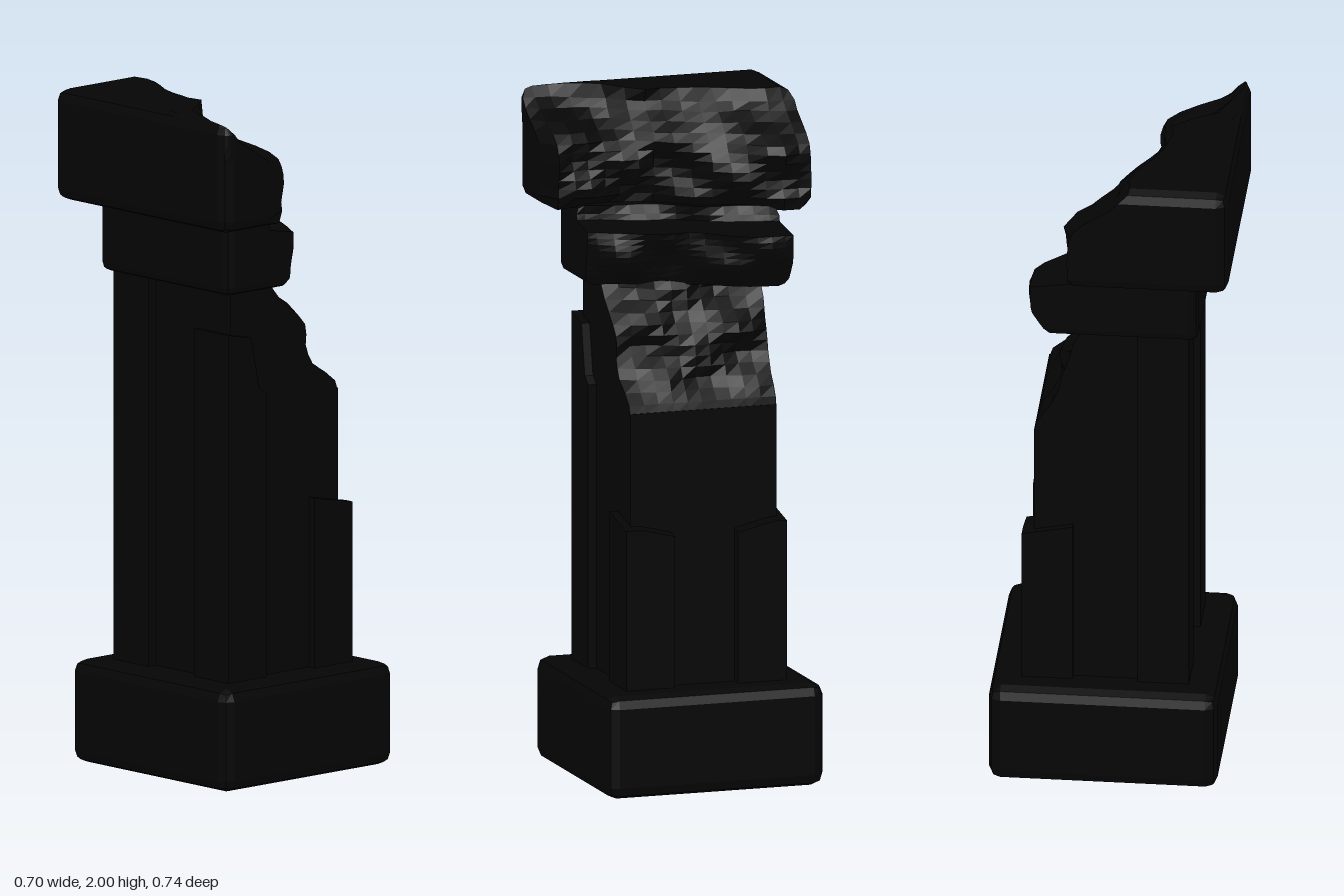
import * as THREE from 'three';

const stone = new THREE.MeshStandardMaterial({ color: 0x050505, flatShading: true });

// piecewise linear lookup in [[key, value], ...]
function lookup(table, k) {
  if (k <= table[0][0]) return table[0][1];
  for (let i = 1; i < table.length; i++) {
    const [a, va] = table[i - 1], [b, vb] = table[i];
    if (k <= b) return va + (vb - va) * (k - a) / (b - a);
  }
  return table[table.length - 1][1];
}

// small ripples that roughen a fracture
const rough = (y, z) => 0.011 * (Math.sin(31 * y + 19 * z) + Math.sin(27 * z - 43 * y));

// block with chamfered edges; edge(y, z, t) gives the x of its +x face
function block(name, min, max, r, edge, ny, nz, roundRight = false) {
  const nx = 5;
  const geo = new THREE.BoxGeometry(1, 1, 1, nx, ny, nz);
  const pos = geo.attributes.position;
  const p = new THREE.Vector3(), inner = new THREE.Vector3();
  // rows next to the borders sit exactly one radius inside
  const place = (u, n, a, b) => {
    const i = Math.round((u + 0.5) * n);
    if (i === 0) return a;
    if (i === n) return b;
    return a + r + (b - a - 2 * r) * (i - 1) / Math.max(1, n - 2);
  };
  const lo = new THREE.Vector3(...min).addScalar(r);
  const hi = new THREE.Vector3(...max).addScalar(-r);
  if (!roundRight) hi.x = 10;
  for (let i = 0; i < pos.count; i++) {
    p.fromBufferAttribute(pos, i);
    const y = place(p.y, ny, min[1], max[1]);
    const z = place(p.z, nz, min[2], max[2]);
    const right = edge ? Math.max(min[0] + 0.01, edge(y, z, (y - min[1]) / (max[1] - min[1]))) : max[0];
    const w = right - min[0];
    const k = Math.round((p.x + 0.5) * nx);
    const rx = Math.min(r, w / 4);
    const x = k === 0 ? min[0] : k === nx ? right : min[0] + rx + (w - 2 * rx) * (k - 1) / (nx - 2);
    p.set(x, y, z);
    inner.copy(p).clamp(lo, hi);
    p.sub(inner);
    if (p.length() > r) p.setLength(r);
    p.add(inner);
    pos.setXYZ(i, p.x, p.y, p.z);
  }
  geo.computeVertexNormals();
  const mesh = new THREE.Mesh(geo, stone);
  mesh.name = name;
  return mesh;
}

// corner strip of the shaft with an uneven top
function pilaster(name, x0, z0, top) {
  const geo = new THREE.BoxGeometry(0.15, 1, 0.15, 5, 1, 5);
  geo.translate(x0 + 0.075, 0.5, z0 + 0.075);
  const pos = geo.attributes.position;
  for (let i = 0; i < pos.count; i++) {
    pos.setY(i, pos.getY(i) > 0.5 ? top(pos.getX(i), pos.getZ(i)) : 0.28);
  }
  geo.computeVertexNormals();
  const mesh = new THREE.Mesh(geo, stone);
  mesh.name = name;
  return mesh;
}

export function createModel() {
  const group = new THREE.Group();
  group.name = 'brokenColumn';

  // plinth
  group.add(block('base', [-0.32, 0, -0.335], [0.35, 0.305, 0.335], 0.035, null, 4, 4, true));

  // shaft core, intact below and fractured above
  const lower = new THREE.Mesh(new THREE.BoxGeometry(0.425, 0.84, 0.45), stone);
  lower.position.set(0.0125, 0.7, 0);
  lower.name = 'shaftLower';
  group.add(lower);

  const coreTop = [[-0.225, 0.07], [0, 0.05], [0.1, 0.03], [0.225, -0.04]];
  const coreProfile = [[1.13, 1], [1.2, 0.7], [1.25, 0.56], [1.27, 0.48], [1.34, 0.5], [1.41, 0.14], [1.47, 0]];
  group.add(block('shaftUpper', [-0.2, 1.11, -0.225], [0.225, 1.48, 0.225], 0.002, (y, z) => {
    const f = lookup(coreProfile, y), top = lookup(coreTop, z);
    return top + (0.225 - top) * f + rough(y, z) * Math.min(1, (1 - f) * 3);
  }, 14, 12));

  // corner strips, each broken at its own height
  const chipped = [[-0.23, 1.34], [-0.14, 1.32], [-0.11, 1.17], [-0.08, 1.15]];
  group.add(pilaster('backRightPilaster', -0.23, -0.245, () => 1.47));
  group.add(pilaster('frontRightPilaster', -0.23, 0.1, (x) => lookup(chipped, x)));
  const lowTop = (x, z) => 0.81 - 0.2 * (x - 0.11) - 0.25 * Math.max(0, 0.2 - Math.abs(z)) * (x > 0.2 ? 1 : 0.3);
  group.add(pilaster('frontLeftPilaster', 0.11, 0.1, lowTop));
  group.add(pilaster('backLeftPilaster', 0.11, -0.245, lowTop));

  // neck slab with a jutting shard at the back
  const neckOuter = [[-0.275, 0.235], [-0.15, 0.22], [-0.1, 0.19], [0, 0.1], [0.1, 0.08], [0.2, 0.06], [0.28, 0]];
  const neckInner = [[-0.275, 0.09], [-0.1, 0.04], [0.05, -0.05], [0.2, -0.08], [0.28, -0.1]];
  const neckProfile = [[0, 0.6], [0.15, 0.8], [0.35, 0.95], [0.6, 1], [0.74, 1], [0.8, 0.12], [1, 0]];
  group.add(block('neckSlab', [-0.26, 1.46, -0.275], [0.24, 1.68, 0.28], 0.025, (y, z, t) => {
    const a = lookup(neckInner, z);
    return a + (lookup(neckOuter, z) - a) * lookup(neckProfile, t) + rough(y, z) * 0.7;
  }, 12, 14));

  // top block, sheared off diagonally
  const capOuter = [[-0.37, 0.115], [-0.28, 0.115], [-0.16, 0.06], [-0.08, 0.02], [0.05, -0.08], [0.2, -0.1], [0.34, -0.09], [0.37, -0.16]];
  const capInner = [[-0.37, -0.06], [-0.28, -0.06], [-0.12, -0.13], [0, -0.16], [0.06, -0.15], [0.15, -0.29], [0.3, -0.335], [0.37, -0.345]];
  const capProfile = [[0, 0.88], [0.1, 1], [0.48, 1], [0.6, 0.9], [0.7, 0.62], [0.8, 0.3], [1, 0]];
  group.add(block('topBlock', [-0.355, 1.67, -0.37], [0.115, 2, 0.37], 0.035, (y, z, t) => {
    const a = lookup(capInner, z);
    const wobble = rough(y, z) * (Math.abs(z) > 0.36 ? 0.2 : 1) * (t > 0.98 ? 0.3 : 1);
    return a + (lookup(capOuter, z) - a) * lookup(capProfile, t) + wobble;
  }, 12, 16));

  return group;
}
